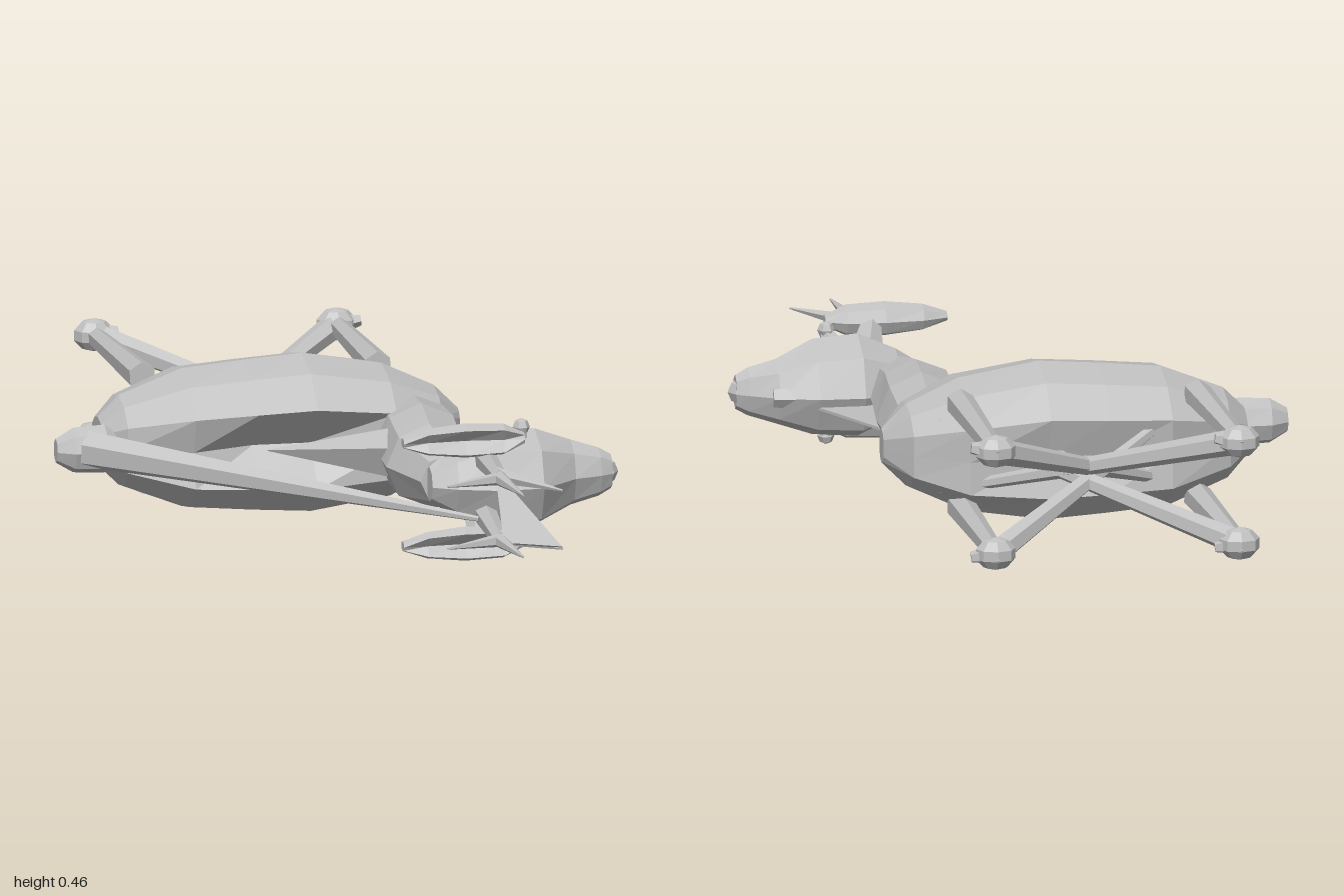
import * as THREE from 'three';

const MID = 0.23; // height of the animal's plane of symmetry (it lies on its side)

export function createModel() {
  const group = new THREE.Group();
  group.name = 'lyingStag';
  const grey = new THREE.MeshStandardMaterial({ color: 0xc0c0c0, flatShading: true });
  grey.name = 'grey';
  const V = (x, y, z) => new THREE.Vector3(x, y, z);

  function add(name, geometry) {
    const mesh = new THREE.Mesh(geometry, grey);
    mesh.name = name;
    group.add(mesh);
    return mesh;
  }

  // Closed skin through rings; each ring is an array of points
  function loft(name, rings) {
    const tris = [], n = rings[0].length;
    const centre = r => r.reduce((s, p) => s.add(p), V(0, 0, 0)).divideScalar(n);
    const first = rings[0], last = rings[rings.length - 1];
    const c0 = centre(first), c1 = centre(last);
    for (let j = 0; j < n; j++) {
      const k = (j + 1) % n;
      for (let i = 0; i + 1 < rings.length; i++) {
        const a = rings[i][j], b = rings[i][k], c = rings[i + 1][k], d = rings[i + 1][j];
        tris.push([a, b, c], [a, c, d]);
      }
      tris.push([c0, first[k], first[j]], [c1, last[j], last[k]]);
    }
    // Turn the skin outward if its enclosed volume comes out negative
    let volume = 0;
    for (const [a, b, c] of tris) {
      volume += a.clone().sub(c0).dot(b.clone().sub(c0).cross(c.clone().sub(c0)));
    }
    const pts = tris.flatMap(([a, b, c]) => (volume < 0 ? [a, c, b] : [a, b, c]));
    const geometry = new THREE.BufferGeometry().setFromPoints(pts);
    geometry.computeVertexNormals();
    return add(name, geometry);
  }

  // Ring across x: half depth a, half height b, grooves at the +z and -z sides
  function ringX(n, x, y, z, a, b, front = 1, back = 1) {
    return Array.from({ length: n }, (_, i) => {
      const t = (i / n) * Math.PI * 2;
      const g = i === 0 ? front : i * 2 === n ? back : 1;
      return V(x, y + Math.sin(t) * b, z + Math.cos(t) * a * g);
    });
  }

  // Ring across z: half width a, half height b
  function ringZ(n, z, x, a, b) {
    return Array.from({ length: n }, (_, i) => {
      const t = (i / n) * Math.PI * 2;
      return V(x + Math.cos(t) * a, MID + Math.sin(t) * b, z);
    });
  }

  // Tapered bar between two points
  function bar(name, from, to, r0, r1, sides = 6) {
    const dir = to.clone().sub(from);
    const mesh = add(name, new THREE.CylinderGeometry(r1, r0, dir.length(), sides));
    mesh.position.copy(from).add(to).multiplyScalar(0.5);
    mesh.quaternion.setFromUnitVectors(V(0, 1, 0), dir.normalize());
    return mesh;
  }

  function ball(name, p, r, sides = 8, rows = 5) {
    const mesh = add(name, new THREE.SphereGeometry(r, sides, rows));
    mesh.position.copy(p);
    return mesh;
  }

  // Thin two-sided blade
  function blade(name, a, b, c) {
    const n = b.clone().sub(a).cross(c.clone().sub(a)).normalize().multiplyScalar(0.004);
    return loft(name, [1, -1].map(s => [a, b, c].map(p => p.clone().addScaledVector(n, s))));
  }

  // Torso, hollowed deeply along the back and slightly along the belly
  loft('torso', [
    [-0.62, 0.09, 0.07, 0.87, 0.87], [-0.56, 0.17, 0.13, 0.87, 0.87],
    [-0.38, 0.27, 0.2, 0.75, 0.82], [-0.2, 0.275, 0.217, 0.5, 0.74],
    [-0.03, 0.275, 0.23, 0.5, 0.74], [0.2, 0.27, 0.19, 0.85, 0.85],
    [0.35, 0.17, 0.12, 0.87, 0.87], [0.42, 0.04, 0.05, 0.87, 0.87],
  ].map(([x, a, b, back, belly]) => ringX(12, x, MID, -0.28, a, b, back, belly)));

  // Pointed tufts at the withers and belly
  bar('withersTuft', V(0.18, 0.24, 0.07), V(-0.17, MID, -0.07), 0.075, 0.002, 4);
  bar('bellyTuft', V(0.0, MID, -0.44), V(-0.11, MID, -0.56), 0.05, 0.002, 4);

  // Neck
  loft('neck', [
    [-0.3, 0.27, 0.1, 0.08], [-0.18, 0.27, 0.12, 0.12], [0.0, 0.26, 0.13, 0.135],
    [0.2, 0.245, 0.125, 0.12], [0.4, 0.27, 0.09, 0.08],
  ].map(([z, x, a, b]) => ringZ(8, z, x, a, b)));
  blade('throatFold', V(0.37, 0.21, -0.05), V(0.52, 0.2, 0.27), V(0.34, 0.2, 0.32));

  // Head and muzzle
  loft('head', [
    [0.2, 0.43, 0.05, 0.05], [0.27, 0.4, 0.12, 0.1], [0.38, 0.395, 0.16, 0.15],
    [0.51, 0.395, 0.155, 0.14], [0.62, 0.36, 0.09, 0.095], [0.7, 0.37, 0.055, 0.07],
    [0.735, 0.37, 0.035, 0.05],
  ].map(([x, z, a, b]) => ringX(8, x, MID, z, a, b)));
  ball('nose', V(0.72, MID, 0.37), 0.037, 6, 4);
  bar('chin', V(0.44, MID, 0.3), V(0.64, MID, 0.295), 0.055, 0.03);

  // Tail knob with its long trailing point
  loft('tail', [[-0.76, 0.03, 0.035], [-0.71, 0.06, 0.065], [-0.62, 0.06, 0.07], [-0.58, 0.035, 0.04]]
    .map(([x, a, b]) => ringX(8, x, MID, -0.18, a, b)));
  bar('tailPoint', V(-0.67, 0.235, -0.16), V(0.32, 0.15, 0.55), 0.055, 0.008);

  // Paired parts on both sides of the symmetry plane
  for (const s of [1, -1]) {
    const side = s > 0 ? 'Upper' : 'Lower';
    const Y = d => MID + s * d;

    // Legs, crossing struts and hooves
    for (const [leg, baseX, hoofX, farX] of [['hind', -0.465, -0.5, 0.27], ['fore', 0.215, 0.2, -0.4]]) {
      const hoof = V(hoofX, Y(0.15), -0.95);
      bar(leg + 'Leg' + side, V(baseX, Y(0.15), -0.41), hoof, 0.042, 0.027);
      bar(leg + 'Strut' + side, hoof, V(farX, Y(-0.1), -0.42), 0.038, 0.014);
      ball(leg + 'Hoof' + side, hoof, 0.048, 8, 5).scale.x = 1.25;
      bar(leg + 'HoofTip' + side, hoof, V(hoofX, Y(0.16), -1), 0.025, 0.002, 4);
      bar(leg + 'Dewclaw' + side, hoof, V(hoofX + 0.07, Y(0.16), -0.945), 0.035, 0.016, 5);
    }

    // Leaf-shaped ear, hollow at the front
    loft('ear' + side, [
      [0.1, 0.022, 0.014, 0.9], [0.17, 0.047, 0.038, 0.3], [0.28, 0.055, 0.05, 0.1],
      [0.39, 0.05, 0.045, 0.3], [0.45, 0.022, 0.016, 0.9],
    ].map(([x, a, b, g]) => ringX(8, x, Y(0.15), 0.548, a, b, g)));
    bar('earRoot' + side, V(0.35, Y(0.09), 0.42), V(0.32, Y(0.14), 0.53), 0.05, 0.03);

    // Eye
    ball('eye' + side, V(0.465, Y(0.155), 0.43), 0.025, 6, 4);
    bar('eyeSocket' + side, V(0.44, Y(0.09), 0.42), V(0.465, Y(0.15), 0.43), 0.05, 0.02);

    // Antler with two side tines
    const fork = V(0.335, Y(0.09), 0.78);
    bar('antlerBeam' + side, V(0.35, Y(0.08), 0.48), fork, 0.035, 0.022);
    bar('antlerTip' + side, fork, V(0.36, Y(0.09), 1), 0.022, 0.003);
    bar('antlerInnerTine' + side, fork, V(0.17, Y(0.09), 0.855), 0.02, 0.003, 5);
    bar('antlerOuterTine' + side, V(0.335, Y(0.09), 0.74), V(0.485, Y(0.085), 0.94), 0.024, 0.003, 5);
  }

  // Web stretched between the antlers
  blade('antlerWeb', V(0.35, 0.31, 0.64), V(0.485, 0.15, 0.94), V(0.34, 0.14, 0.82));

  return group;
}
